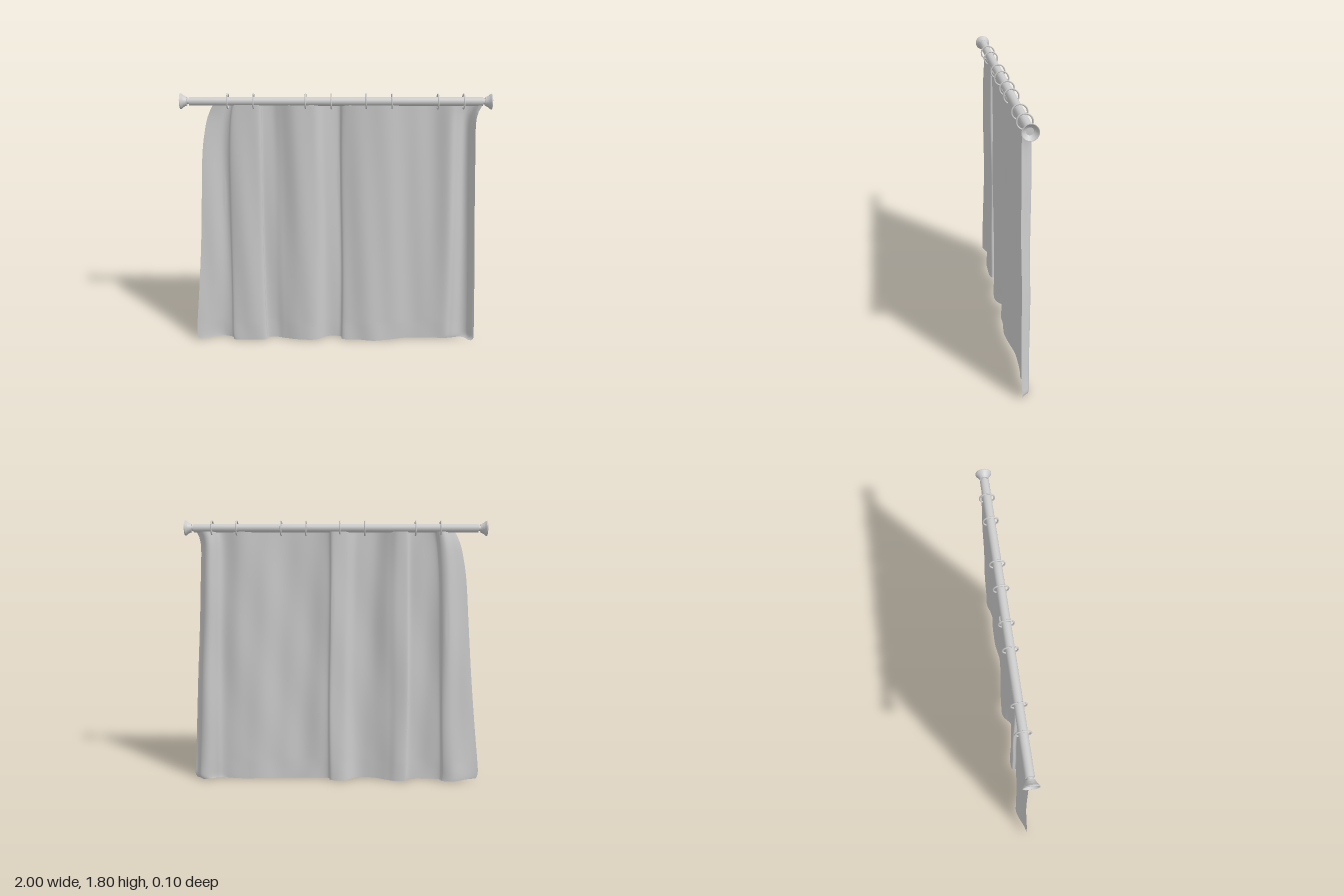
import * as THREE from 'three';

const ROD_Y = 1.75;
const material = new THREE.MeshStandardMaterial({ color: 0xcccccc, side: THREE.DoubleSide });

function addMesh(parent, name, geometry) {
  const mesh = new THREE.Mesh(geometry, material);
  mesh.name = name;
  parent.add(mesh);
  return mesh;
}

// Linear lookup in a list of [key, value] pairs
function lookup(pairs, k) {
  for (let i = 1; i < pairs.length; i++) {
    const [k0, v0] = pairs[i - 1], [k1, v1] = pairs[i];
    if (k <= k1) return v0 + (v1 - v0) * Math.max(0, (k - k0) / (k1 - k0));
  }
  return pairs[pairs.length - 1][1];
}

// Smooth side outline: x as a function of y, sampled from a spline
function outline(points) {
  const curve = new THREE.SplineCurve(points.map(([y, x]) => new THREE.Vector2(y, x)));
  return curve.getPoints(80).map((p) => [p.x, p.y]);
}

// Hanging cloth: one folded cross-section swept down between two side outlines
function curtainGeometry() {
  const left = outline([[0, -0.985], [0.025, -0.997], [0.1, -0.998], [0.4, -0.965], [0.75, -0.93],
    [1.1, -0.902], [1.4, -0.878], [1.57, -0.85], [1.66, -0.825], [1.73, -0.79]]);
  const right = outline([[0, 0.975], [0.025, 0.994], [0.1, 0.99], [0.4, 0.973], [0.75, 0.952],
    [1.1, 0.93], [1.4, 0.914], [1.6, 0.904], [1.68, 0.912], [1.73, 0.935]]);
  // Folds seen from above (x, z)
  const folds = new THREE.SplineCurve([
    [-0.9, 0.012], [-0.83, -0.008], [-0.76, -0.033], [-0.715, -0.022], [-0.7, 0.012], [-0.62, 0.027],
    [-0.53, 0.022], [-0.495, 0.008], [-0.488, -0.02], [-0.42, -0.024], [-0.36, -0.006], [-0.26, 0.026],
    [-0.14, 0.022], [-0.07, -0.018], [0.0, -0.034], [0.035, -0.03], [0.045, 0.004], [0.11, 0.018],
    [0.22, 0.029], [0.36, 0.019], [0.5, -0.004], [0.64, -0.012], [0.75, 0.004], [0.8, -0.012],
    [0.85, -0.031], [0.885, -0.018], [0.905, 0.016], [0.92, 0.03],
  ].map(([x, z]) => new THREE.Vector2(x, z)));
  const profile = folds.getPoints(240);
  const x0 = profile[0].x, x1 = profile[profile.length - 1].x;
  const rows = 60, cols = profile.length;
  const positions = [], indices = [];
  for (let r = 0; r <= rows; r++) {
    const t = r / rows;
    const level = 1.73 * t ** 1.35; // closer rows at the hem
    const l = lookup(left, level), rt = lookup(right, level);
    const hem = Math.max(0, 1 - level / 0.14);
    for (const p of profile) {
      // Side outlines shift the outer folds most, the middle hardly at all
      const wl = Math.max(0, (p.x + 0.3) / (x0 + 0.3)) ** 2.5;
      const wr = Math.max(0, (p.x - 0.5) / (x1 - 0.5)) ** 2.5;
      const drift = 0.006 * Math.sin(level * 3 + p.x * 7) * (1 - Math.max(wl, wr));
      const x = p.x + wl * (l - x0) + wr * (rt - x1) + drift;
      const ripple = 0.003 * Math.sin(x * 31 + level * 2.5) + 0.002 * Math.sin(x * 17 - level * 7);
      const z = THREE.MathUtils.clamp(p.y + ripple + 0.004 * hem * Math.sin(x * 24), -0.037, 0.034);
      const lift = hem * (0.005 + 0.005 * Math.sin(x * 13 + 1) * Math.sin(x * 5));
      positions.push(x, level + lift, z);
    }
  }
  for (let r = 0; r < rows; r++) {
    for (let c = 0; c < cols - 1; c++) {
      const a = r * cols + c, b = a + cols;
      indices.push(a, a + 1, b, b, a + 1, b + 1);
    }
  }
  const geometry = new THREE.BufferGeometry();
  geometry.setAttribute('position', new THREE.Float32BufferAttribute(positions, 3));
  geometry.setIndex(indices);
  geometry.computeVertexNormals();
  return geometry;
}

// Trumpet-shaped end with a hollow face and a small centre disc, along +y
function finialGeometry() {
  const points = [[0.018, 0.93], [0.018, 0.957], [0.027, 0.957], [0.03, 0.966], [0.038, 0.98],
    [0.049, 0.993], [0.05, 1], [0.046, 1], [0.034, 0.986], [0.022, 0.977], [0, 0.977]];
  // Doubled points keep the profile corners crisp
  const profile = points.flatMap(([r, h]) => [new THREE.Vector2(r, h), new THREE.Vector2(r, h)]);
  return new THREE.LatheGeometry(profile, 32);
}

export function createModel() {
  const model = new THREE.Group();
  model.name = 'curtainOnRod';

  // Rod with a flared finial on each end
  const rod = addMesh(model, 'rod', new THREE.CylinderGeometry(0.028, 0.028, 1.885, 32));
  rod.rotation.z = Math.PI / 2;
  rod.position.y = ROD_Y;
  for (const side of [1, -1]) {
    const finial = addMesh(model, side > 0 ? 'leftFinial' : 'rightFinial', finialGeometry());
    finial.rotation.z = -side * Math.PI / 2;
    finial.position.y = ROD_Y;
  }

  // Rings
  const rings = new THREE.Group();
  rings.name = 'rings';
  model.add(rings);
  const ringGeometry = new THREE.TorusGeometry(0.046, 0.005, 10, 32);
  for (const x of [-0.695, -0.53, -0.195, -0.03, 0.195, 0.36, 0.655, 0.82]) {
    const ring = addMesh(rings, 'ring', ringGeometry);
    ring.rotation.y = Math.PI / 2;
    ring.position.set(x, ROD_Y, 0);
  }

  addMesh(model, 'curtain', curtainGeometry());
  return model;
}
